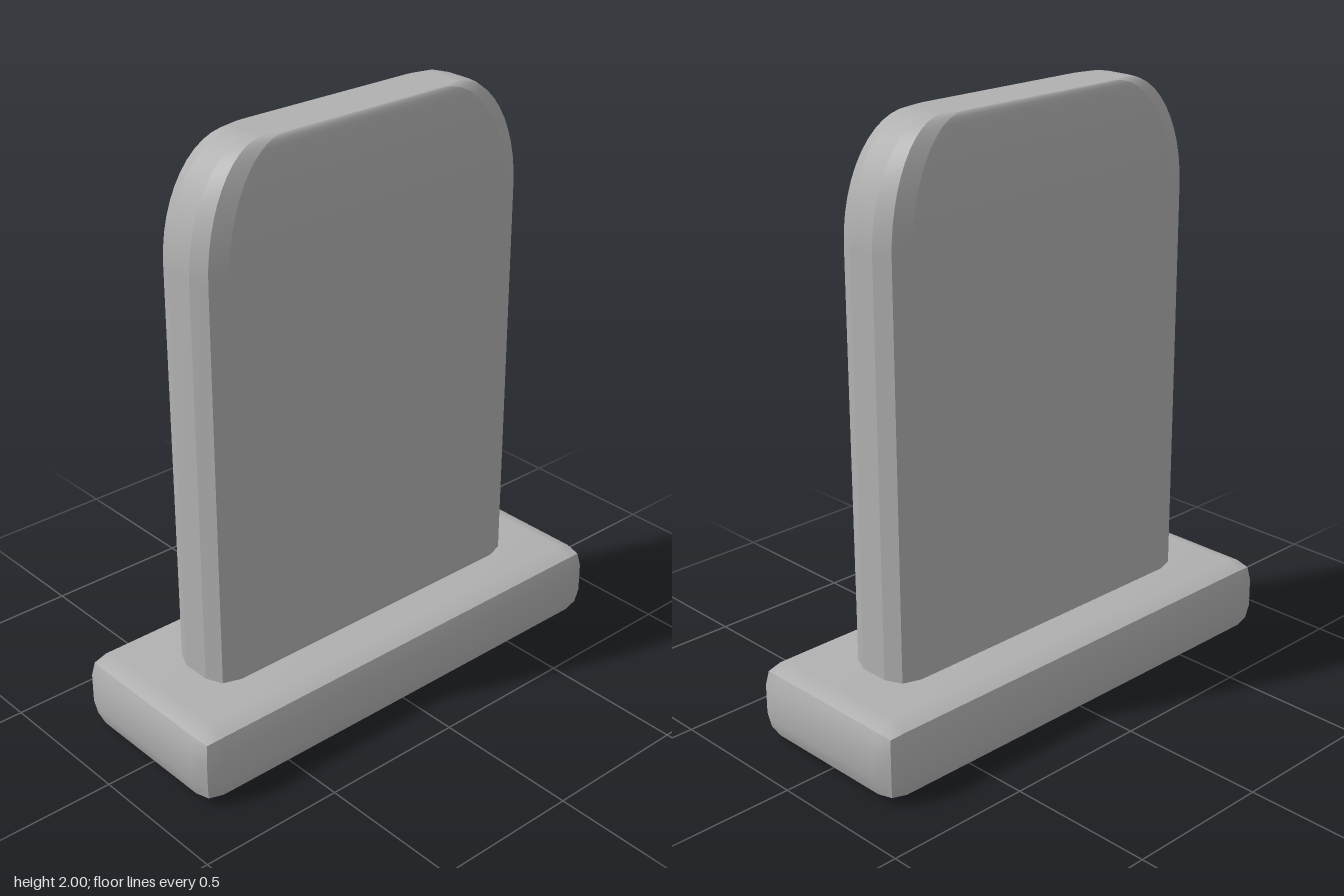
import * as THREE from 'three';

const stone = new THREE.MeshStandardMaterial({ color: 0xb0b0b0 });
stone.name = 'grey stone';

// Mirror a quarter outline [x, z] into a closed ring of 12 corners
function ring(quarter) {
  const right = [...quarter.map(([x, z]) => [x, -z]).reverse(), ...quarter];
  return [...right, ...right.map(([x, z]) => [-x, -z])];
}

// Plinth: a box whose faces bulge softly and meet in crisp edges
function makePlinth() {
  const full = [0.86, 0.13, 0.32];
  const rim = [0.84, 0.107, 0.302];
  const inner = [0.78, 0.05, 0.24];
  const geo = new THREE.BoxGeometry(2, 2, 2, 3, 3, 3);
  const pos = geo.attributes.position;
  for (let i = 0; i < pos.count; i++) {
    const p = [pos.getX(i), pos.getY(i), pos.getZ(i)];
    const outer = p.filter((v) => Math.abs(v) > 0.9).length;
    const q = p.map((v, a) => {
      const size = Math.abs(v) < 0.9 ? inner[a] : outer === 1 ? full[a] : rim[a] - (outer === 3 ? 0.008 : 0);
      return Math.sign(v) * size;
    });
    pos.setXYZ(i, ...q);
  }
  geo.computeVertexNormals();
  geo.translate(0, 0.13, 0);
  const mesh = new THREE.Mesh(geo, stone);
  mesh.name = 'plinth';
  return mesh;
}

// Slab: bevelled outline lofted upward, narrowing along a quarter ellipse
function makeSlab() {
  const group = new THREE.Group();
  group.name = 'slab';
  const wide = ring([[0.645, 0.05], [0.62, 0.106], [0.56, 0.127]]);
  const narrow = ring([[0.4, 0.04], [0.39, 0.07], [0.32, 0.085]]);
  const levels = [{ y: 0.2, pts: wide }];
  const steps = 12;
  for (let i = 0; i <= steps; i++) {
    const t = (i / steps) * Math.PI / 2;
    const s = Math.cos(t);
    levels.push({
      y: 1.62 + 0.38 * Math.sin(t),
      pts: narrow.map(([x, z], k) => [x + (wide[k][0] - x) * s, z + (wide[k][1] - z) * s]),
    });
  }

  // One strip per facet: crisp between strips, smooth along the curve
  const n = wide.length;
  const verts = [];
  const index = [];
  for (let k = 0; k < n; k++) {
    const start = verts.length / 3;
    levels.forEach(({ y, pts }, j) => {
      const a = pts[k];
      const b = pts[(k + 1) % n];
      verts.push(a[0], y, a[1], b[0], y, b[1]);
      if (j > 0) {
        const v = start + (j - 1) * 2;
        index.push(v, v + 2, v + 1, v + 1, v + 2, v + 3);
      }
    });
  }
  const geo = new THREE.BufferGeometry();
  geo.setAttribute('position', new THREE.Float32BufferAttribute(verts, 3));
  geo.setIndex(index);
  geo.computeVertexNormals();
  const body = new THREE.Mesh(geo, stone);
  body.name = 'slabBody';

  // Flat top
  const shape = new THREE.Shape(narrow.map(([x, z]) => new THREE.Vector2(x, -z)));
  const cap = new THREE.Mesh(new THREE.ShapeGeometry(shape).rotateX(-Math.PI / 2), stone);
  cap.name = 'slabTop';
  cap.position.y = 2;

  group.add(body, cap);
  return group;
}

export function createModel() {
  const model = new THREE.Group();
  model.name = 'gravestone';
  model.add(makePlinth(), makeSlab());
  return model;
}
